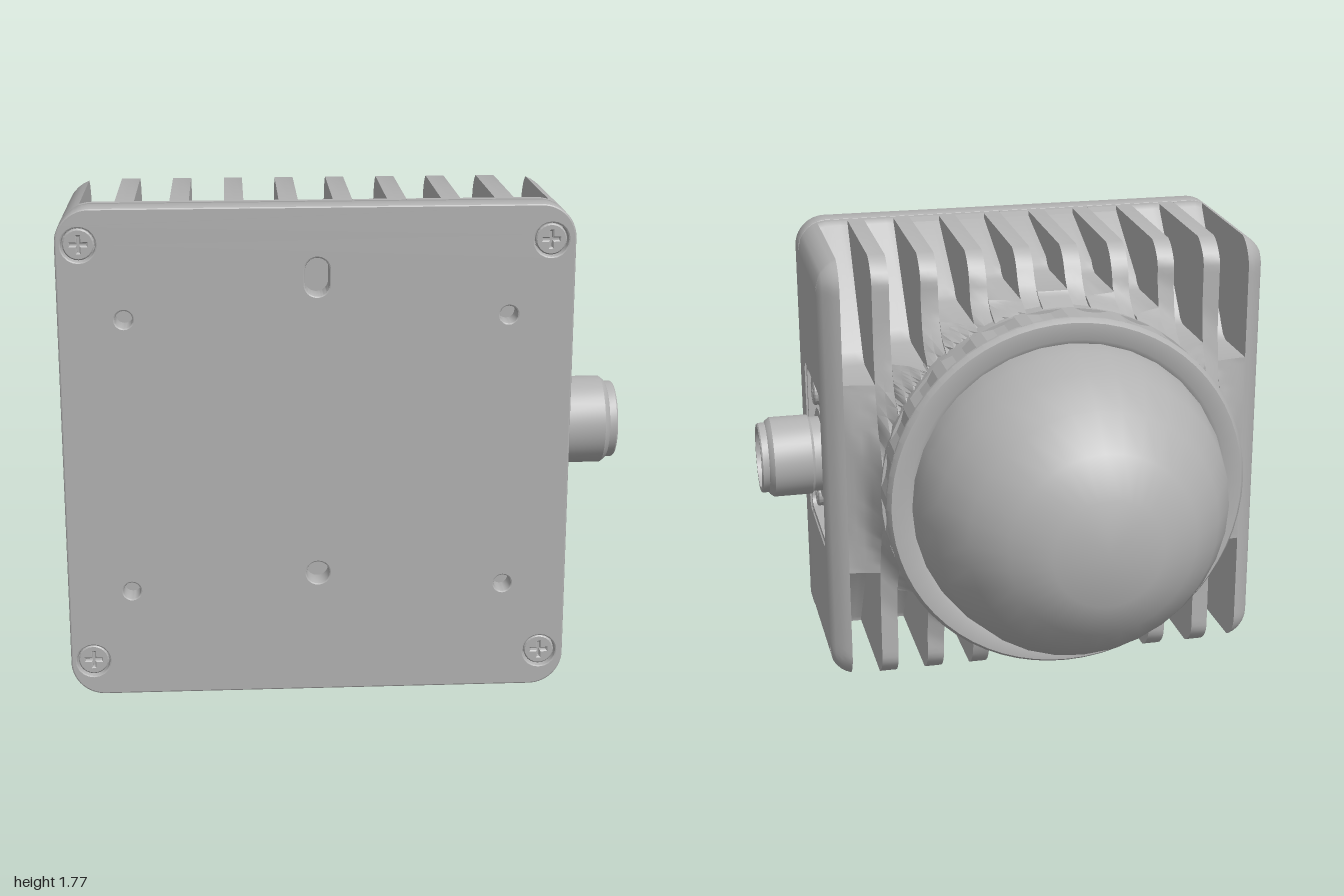
import * as THREE from 'three';
import { toCreasedNormals } from 'three/addons/utils/BufferGeometryUtils.js';

const CX = -0.11, CY = 0.89, HALF = 0.885, RAD = 0.12, FRONT = 0.72;
const metal = new THREE.MeshStandardMaterial({ color: 0xb2b2b2 });
metal.name = 'grey metal';

function add(parent, name, geo, x = 0, y = 0, z = 0) {
  const m = new THREE.Mesh(geo, metal);
  m.name = name;
  m.position.set(x, y, z);
  parent.add(m);
  return m;
}

// Piecewise linear lookup
function lerpTable(t, v) {
  if (v <= t[0][0]) return t[0][1];
  for (let i = 1; i < t.length; i++) {
    const [a, p] = t[i - 1], [b, q] = t[i];
    if (v <= b) return p + (q - p) * (v - a) / (b - a);
  }
  return t[t.length - 1][1];
}

function roundRect(cx, cy, hx, hy, r, S = THREE.Shape) {
  const s = new S();
  s.absarc(cx + hx - r, cy + hy - r, r, 0, Math.PI / 2);
  s.absarc(cx - hx + r, cy + hy - r, r, Math.PI / 2, Math.PI);
  s.absarc(cx - hx + r, cy - hy + r, r, Math.PI, Math.PI * 1.5);
  s.absarc(cx + hx - r, cy - hy + r, r, Math.PI * 1.5, Math.PI * 2);
  s.closePath();
  return s;
}

const circle = (x, y, r) => new THREE.Path().absarc(x, y, r, 0, Math.PI * 2);

// Height of the housing's back surface: flare round the ring, rounded outer edge
const FLARE = [[0.69, -0.07], [0.72, 0.02], [0.77, 0.065], [0.86, 0.088]];
const EDGE = [[0, 0.175], [0.01, 0.15], [0.03, 0.125], [0.06, 0.1], [0.1, 0.08], [0.14, 0.05], [0.17, -0.1]];
function backZ(dx, dy) {
  const qx = Math.abs(dx) - (HALF - RAD), qy = Math.abs(dy) - (HALF - RAD);
  const out = Math.hypot(Math.max(qx, 0), Math.max(qy, 0)) + Math.min(Math.max(qx, qy), 0);
  return Math.max(lerpTable(FLARE, Math.hypot(dx, dy)), lerpTable(EDGE, RAD - out));
}

function topEdge(dx) {
  const q = Math.max(Math.abs(dx) - (HALF - RAD), 0);
  return HALF - RAD + Math.sqrt(Math.max(RAD * RAD - q * q, 0));
}

// Closed side profile as (-z, y), counterclockwise seen from +x
function profile(dx, floor) {
  const top = topEdge(dx), end = floor || top, half = [];
  for (let i = 0; i <= 26; i++) {
    const dy = end * (1 - Math.pow(1 - i / 26, 1.5));
    const z = backZ(dx, dy);
    half.push([z, floor ? dy : dy * (1 - 0.025 * (FRONT - z))]);
  }
  if (floor) half.push([0.33, floor], [0.365, floor + 0.015], [0.385, floor + 0.04], [0.69, top - 0.02], [0.695, top]);
  half.push([FRONT, top]);
  const low = half.slice(1).reverse().map(([z, y]) => [z, -y]);
  return [...low, ...half].map(([z, y]) => new THREE.Vector2(-z, CY + y));
}

// Solid slice of the housing through several x sections
function slice(xs, floor, hole) {
  const secs = xs.map(dx => profile(dx, floor)), pos = [], n = secs[0].length;
  const put = (x, p) => pos.push(CX + x, p.y, -p.x);
  for (let s = 0; s < xs.length - 1; s++) for (let i = 0; i < n; i++) {
    const j = (i + 1) % n, A = secs[s], B = secs[s + 1], x0 = xs[s], x1 = xs[s + 1];
    put(x0, A[i]); put(x0, A[j]); put(x1, B[j]);
    put(x0, A[i]); put(x1, B[j]); put(x1, B[i]);
  }
  const cap = (x, sec, flip, holes) => {
    const all = [...sec, ...holes.flat()];
    for (const f of THREE.ShapeUtils.triangulateShape(sec, holes))
      for (const k of flip ? [f[2], f[1], f[0]] : f) put(x, all[k]);
  };
  cap(xs[0], secs[0], true, []);
  cap(xs[xs.length - 1], secs[secs.length - 1], false, hole ? [hole] : []);
  const g = new THREE.BufferGeometry();
  g.setAttribute('position', new THREE.Float32BufferAttribute(pos, 3));
  return toCreasedNormals(g, 0.6);
}

// Cross-head screw facing +z
function screw(r) {
  const g = new THREE.Group(), a = r * 0.16, b = r * 0.6;
  g.name = 'screw';
  const s = new THREE.Shape().absarc(0, 0, r * 0.9, 0, Math.PI * 2);
  s.holes.push(new THREE.Path([[a, a], [a, b], [-a, b], [-a, a], [-b, a], [-b, -a], [-a, -a], [-a, -b],
    [a, -b], [a, -a], [b, -a], [b, a]].map(p => new THREE.Vector2(...p))));
  add(g, 'screwHead', new THREE.ExtrudeGeometry(s, { depth: 0.016, bevelSize: r * 0.08, bevelThickness: 0.004, bevelSegments: 1, curveSegments: 12 }));
  add(g, 'screwBase', new THREE.CylinderGeometry(r, r, 0.03, 24).rotateX(Math.PI / 2), 0, 0, -0.015);
  return g;
}

const lathe = (pts, seg) => toCreasedNormals(new THREE.LatheGeometry(pts.map(p => new THREE.Vector2(...p)), seg), 0.6);

export function createModel() {
  const model = new THREE.Group();
  model.name = 'domeSensor';

  // Finned housing: alternating grooves and fins between two rounded edge slices
  const housing = new THREE.Group();
  housing.name = 'housing';
  model.add(housing);
  const edge = [0.805, 0.825, 0.845, 0.865, 0.875, 0.885];
  const pocket = roundRect(-0.43, CY, 0.24, 0.32, 0.05);
  const pocketPts = pocket.getPoints(6).filter((p, i, a) => i === 0 || (p.distanceTo(a[i - 1]) > 1e-5 && p.distanceTo(a[0]) > 1e-5));
  add(housing, 'connectorSide', slice(edge, 0, pocketPts));
  add(housing, 'plainSide', slice(edge.map(x => -x).reverse(), 0));
  const pitch = 0.18625, w = 0.06;
  for (let i = 0; i < 9; i++) {
    const c = (i - 4) * pitch;
    const floor = Math.max(0.39, Math.sqrt(Math.max(0.73 ** 2 - c * c, 0)));
    add(housing, 'grooveFloor', slice([c - w, c - w / 2, c, c + w / 2, c + w], floor));
    if (i < 8) add(housing, 'fin', slice([c + w, c + pitch / 2, c + pitch - w], 0));
  }

  // Front cover plate with mounting holes
  const b = 0.012;
  const plate = roundRect(CX, CY, HALF - b, HALF - b, RAD - b);
  const screws = [-0.915, 0.69].flatMap(x => [0.135, 1.65].map(y => [x, y]));
  for (const [x, y] of screws) plate.holes.push(circle(x, y, 0.07));
  for (const x of [-0.77, 0.55]) for (const y of [0.4, 1.39]) plate.holes.push(circle(x, y, 0.042));
  plate.holes.push(circle(CX, 0.455, 0.052));
  plate.holes.push(roundRect(CX, 1.53, 0.053, 0.078, 0.0529, THREE.Path));
  add(model, 'coverPlate', toCreasedNormals(new THREE.ExtrudeGeometry(plate, {
    depth: 0.074, bevelSize: b / 2, bevelThickness: 0.008, bevelOffset: b / 2, bevelSegments: 2, curveSegments: 10,
  }), 0.5), 0, 0, 0.738);
  add(model, 'gasket', new THREE.ExtrudeGeometry(roundRect(CX, CY, HALF - 0.015, HALF - 0.015, RAD - 0.015), { depth: 0.025, bevelEnabled: false }), 0, 0, 0.715);
  for (const [x, y] of screws) {
    const s = screw(0.055);
    s.position.set(x, y, 0.79);
    model.add(s);
  }

  // Retaining ring and dome, both turned about the z axis
  const optics = new THREE.Group();
  optics.name = 'domeAssembly';
  optics.position.set(CX, CY, 0);
  model.add(optics);
  const toBack = g => g.rotateX(-Math.PI / 2);
  add(optics, 'collar', toBack(lathe([[0.69, -0.04], [0.69, 0.075], [0.67, 0.09], [0.67, 0.11]], 64)));
  const grip = new THREE.Shape();
  for (let i = 0; i < 96; i++) {
    const a = i / 96 * Math.PI * 2, r = i % 4 < 2 ? 0.7 : 0.688;
    grip[i ? 'lineTo' : 'moveTo'](r * Math.cos(a), r * Math.sin(a));
  }
  grip.closePath();
  add(optics, 'ringGrip', new THREE.ExtrudeGeometry(grip, { depth: 0.13, bevelEnabled: false }), 0, 0, -0.23);
  add(optics, 'ringBase', toBack(lathe([[0.6, 0.088], [0.69, 0.088], [0.7, 0.096], [0.7, 0.112], [0.68, 0.112]], 64)));
  add(optics, 'ringLip', toBack(lathe([[0.68, 0.222], [0.7, 0.222], [0.7, 0.236], [0.685, 0.258], [0.62, 0.258], [0.6, 0.245]], 64)));
  add(optics, 'dome', toBack(lathe([[0.605, 0.22], [0.605, 0.27], [0.595, 0.34], [0.56, 0.48], [0.47, 0.63], [0.35, 0.75], [0.205, 0.825], [0, 0.825]], 32)));

  // Connector in its pocket on the side, built facing +z then turned to +x
  const port = new THREE.Group();
  port.name = 'connector';
  port.position.set(0, CY, 0.43);
  port.rotation.y = Math.PI / 2;
  model.add(port);
  const frame = roundRect(0, 0, 0.247, 0.327, 0.055);
  frame.holes.push(roundRect(0, 0, 0.226, 0.306, 0.04, THREE.Path));
  add(port, 'pocketFrame', new THREE.ExtrudeGeometry(frame, { depth: 0.05, bevelEnabled: false }), 0, 0, 0.717);
  add(port, 'pocketFloor', new THREE.BoxGeometry(0.48, 0.64, 0.01), 0, 0, 0.72);
  add(port, 'flange', new THREE.CylinderGeometry(0.185, 0.19, 0.03, 16).rotateX(Math.PI / 2), 0, 0, 0.738);
  const toPort = g => g.rotateX(Math.PI / 2);
  add(port, 'socket', toPort(lathe([[0.15, 0.72], [0.15, 0.79], [0.16, 0.8], [0.16, 0.95], [0.148, 0.965], [0.14, 0.97],
    [0.14, 0.995], [0.135, 1], [0.12, 1], [0.12, 0.87], [0, 0.87]], 40)));
  for (let i = 0; i < 12; i++) {
    const inner = i >= 8, a = (inner ? i * Math.PI / 2 : i * Math.PI / 4) + 0.4, r = inner ? 0.035 : 0.085;
    add(port, 'pin', new THREE.CylinderGeometry(0.009, 0.009, 0.09, 8).rotateX(Math.PI / 2), r * Math.cos(a), r * Math.sin(a), 0.91);
  }
  add(port, 'key', new THREE.BoxGeometry(0.025, 0.03, 0.11), -0.112, 0, 0.92);
  for (const x of [-0.14, 0.14]) for (const y of [-0.22, 0.22]) {
    const s = screw(0.06);
    s.position.set(x, y, 0.738);
    port.add(s);
  }
  return model;
}
